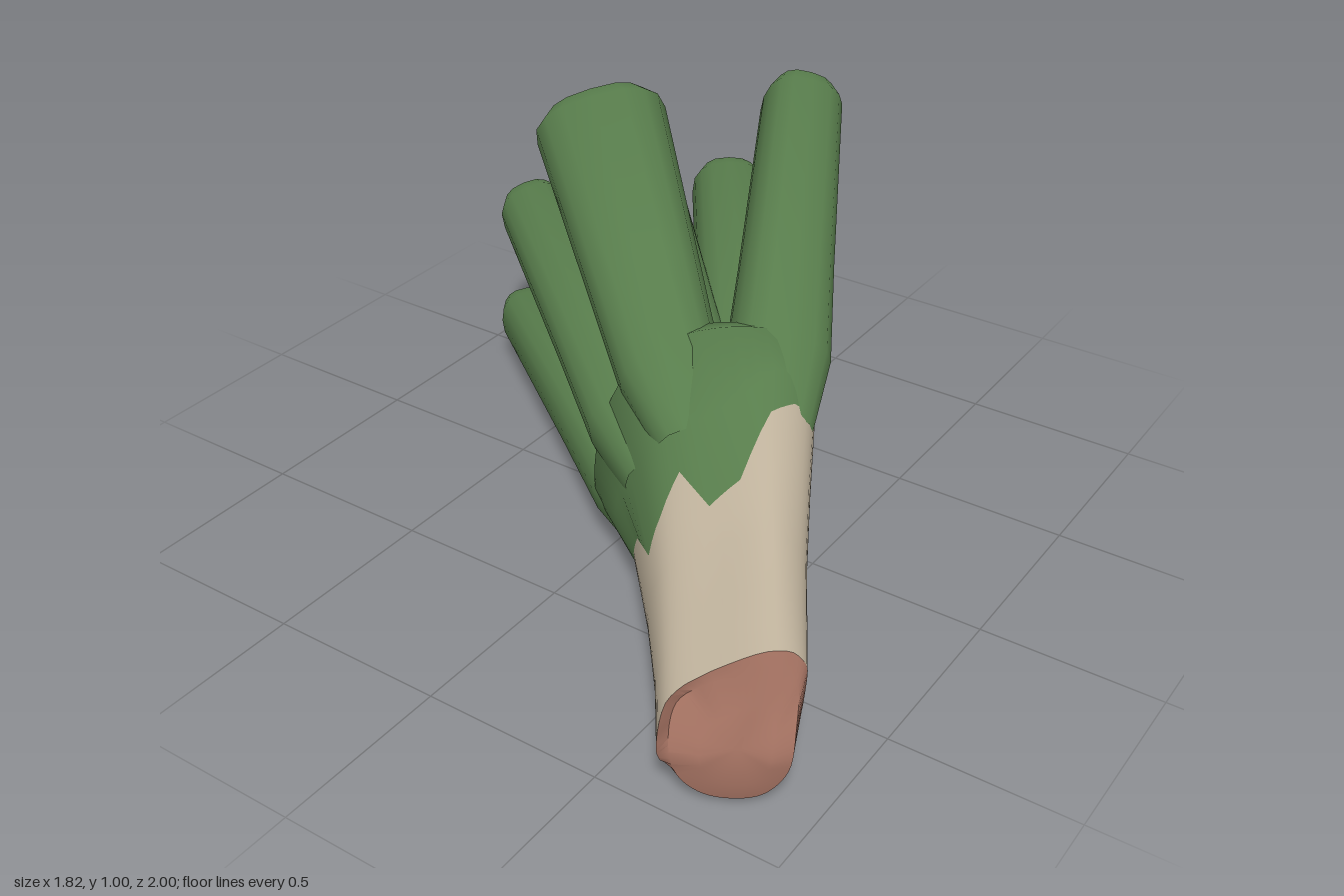
import * as THREE from 'three';
import { toCreasedNormals } from 'three/addons/utils/BufferGeometryUtils.js';

const V = (x, y, z) => new THREE.Vector3(x, y, z);
const lerp = THREE.MathUtils.lerp;
const N = 60; // points round the stalk

// Position in the bunch: s across, y up, t along from the root to the tips
const at = (s, y, t) => V(0.77 - 0.55 * t + 0.83 * (s - 0.19), y, 0.82 - 0.83 * t - 0.55 * (s - 0.19));

// Skin a list of rings, with optional caps at the ends
function loft(rings, capStart, capEnd) {
  const n = rings[0].length, pos = [], idx = [];
  rings.forEach(r => r.forEach(p => pos.push(p.x, p.y, p.z)));
  for (let r = 0; r < rings.length - 1; r++) {
    for (let i = 0; i < n; i++) {
      const j = (i + 1) % n, a = r * n + i, b = r * n + j;
      idx.push(a, b, a + n, b, b + n, a + n);
    }
  }
  const cap = (row, flip) => {
    const c = V(0, 0, 0);
    rings[row].forEach(p => c.addScaledVector(p, 1 / n));
    const k = pos.length / 3;
    pos.push(c.x, c.y, c.z);
    for (let i = 0; i < n; i++) {
      const a = row * n + i, b = row * n + (i + 1) % n;
      if (flip) idx.push(k, b, a); else idx.push(k, a, b);
    }
  };
  if (capStart) cap(0, true);
  if (capEnd) cap(rings.length - 1, false);
  const g = new THREE.BufferGeometry();
  g.setAttribute('position', new THREE.Float32BufferAttribute(pos, 3));
  g.setIndex(idx);
  return toCreasedNormals(g, 0.9);
}

// Stalk cross-sections as [s, y], clockwise seen from the root
const sections = [
  [0.03, [[.28, .355], [.345, .31], [.345, .2], [.32, .08], [.25, .01], [.12, .01], [.04, .07], [.01, .17], [.03, .26], [.13, .31]]],
  [0.35, [[.28, .45], [.355, .38], [.36, .25], [.33, .1], [.25, .045], [.1, .045], [0, .1], [-.02, .21], [.02, .33], [.14, .4]]],
  [0.65, [[.28, .57], [.375, .5], [.38, .32], [.34, .12], [.25, .065], [.05, .065], [-.05, .12], [-.06, .28], [0, .45], [.11, .53]]],
  [0.95, [[.31, .69], [.41, .6], [.395, .36], [.34, .12], [.22, .07], [-.05, .07], [-.17, .13], [-.18, .33], [-.1, .55], [.06, .68]]],
].map(([t, pts]) => {
  const curve = new THREE.CatmullRomCurve3(pts.map(([s, y]) => V(s, y, 0)), true);
  return { t, pts: Array.from({ length: N }, (_, i) => curve.getPoint(i / N)) };
});

// Point i of the stalk's skin at distance t
function skin(i, t) {
  let k = 0;
  while (k < sections.length - 2 && t > sections[k + 1].t) k++;
  const a = sections[k], b = sections[k + 1];
  const f = THREE.MathUtils.clamp((t - a.t) / (b.t - a.t), 0, 1);
  return at(lerp(a.pts[i].x, b.pts[i].x, f), lerp(a.pts[i].y, b.pts[i].y, f), t);
}

// Ring whose distance t is given for each point
const ring = tOf => Array.from({ length: N }, (_, i) => skin(i, tOf(i)));

// Ring of the section k scaled about a centre
const shrunk = (k, s, y, scale, tOf) => sections[k].pts.map(p => {
  const py = lerp(y, p.y, scale);
  return at(lerp(s, p.x, scale), py, tOf(py));
});

// Ragged colour edge, interpolated round the stalk
const ragged = list => i => {
  const u = i / N * list.length, k = Math.floor(u);
  return lerp(list[k], list[(k + 1) % list.length], u - k);
};
const greenEdge = ragged([.68, .73, .74, .8, .72, .86, .85, .78, .77, .74, .72, .7, .66, .62, .58, .45, .5, .58, .46, .5]);
const rootEdge = ragged([.03, .04, .04, .05, .035, .045, .03, .04, .025, .03, .01, .01, -.02, -.07, -.1, -.085, -.04, -.01, .01, .02]);

// Leaf: squarish oval tube from inside the stalk to a bevelled tip
function leaf(start, tip, width, height, roll, base) {
  const dir = tip.clone().sub(start).normalize();
  const side = dir.clone().cross(V(0, 1, 0)).normalize().applyAxisAngle(dir, roll);
  const up = side.clone().cross(dir);
  const sides = 16;
  const squash = v => Math.sign(v) * Math.pow(Math.abs(v), 0.76);
  const rows = [[.1, .92], [.26, 1.2], [.5, 1.12], [.955, 1.03], [1, .78]];
  return loft(rows.map(([f, k]) => Array.from({ length: sides }, (_, i) => {
    const a = -i / sides * Math.PI * 2;
    return start.clone().lerp(tip, f)
      .addScaledVector(side, squash(Math.cos(a)) * width * k * lerp(base, 1, f))
      .addScaledVector(up, squash(Math.sin(a)) * height * k);
  })), false, true);
}

export function createModel() {
  const group = new THREE.Group();
  const mat = (name, color) => Object.assign(new THREE.MeshStandardMaterial({ color }), { name });
  const green = mat('leaf green', 0x587d4c);
  const cream = mat('stalk cream', 0xbfb29c);
  const brown = mat('root brown', 0xa06f5f);
  const add = (name, geometry, material) => {
    const mesh = new THREE.Mesh(geometry, material);
    mesh.name = name;
    group.add(mesh);
  };

  // Root end: a knob low on the face, set back towards the top
  const knobT = y => lerp(-.085, .01, THREE.MathUtils.smoothstep(y, .12, .31));
  add('rootEnd', loft([
    shrunk(0, .2, .13, .5, y => knobT(y) - .008),
    shrunk(0, .2, .13, .86, knobT),
    ring(rootEdge),
  ], true, false), brown);

  // Pale stalk
  add('stalk', loft([
    ring(rootEdge), ring(() => .1), ring(() => .2), ring(() => .35),
    ring(i => lerp(.35, greenEdge(i), .5)), ring(greenEdge),
  ]), cream);

  // Green collar where the leaves part
  add('collar', loft([
    ring(greenEdge), ring(i => lerp(greenEdge(i), .92, .5)), ring(() => .92),
    shrunk(3, .1, .39, .84, () => 1.01),
    shrunk(3, .08, .4, .5, () => 1.14),
  ], false, true), green);

  // Leaves: start [s, y], tip [x, y, z], half width, half height, roll, base width factor
  const leaves = [
    ['upperLeftLeaf', [.27, .43], [-.135, .905, -.95], .114, .11, .3, 1],
    ['middleBackLeaf', [.25, .3], [-.39, .555, -.945], .113, .108, 0, .95],
    ['lowerBackLeaf', [.2, .17], [-.61, .2, -.84], .106, .09, .1, 1],
    ['innerLeaf', [.16, .33], [-.61, .66, -.745], .108, .095, .3, 1],
    ['middleRightLeaf', [.06, .3], [-.85, .515, -.52], .105, .108, -.3, 1],
    ['lowerRightLeaf', [.07, .17], [-.85, .165, -.48], .1, .086, 0, 1],
    ['broadTopLeaf', [.12, .375], [-.575, .895, -.505], .195, .125, -.28, .45],
  ];
  for (const [name, [s, y], tip, w, h, roll, base] of leaves) {
    add(name, leaf(at(s, y, .6), V(...tip), w, h, roll, base), green);
  }
  return group;
}
